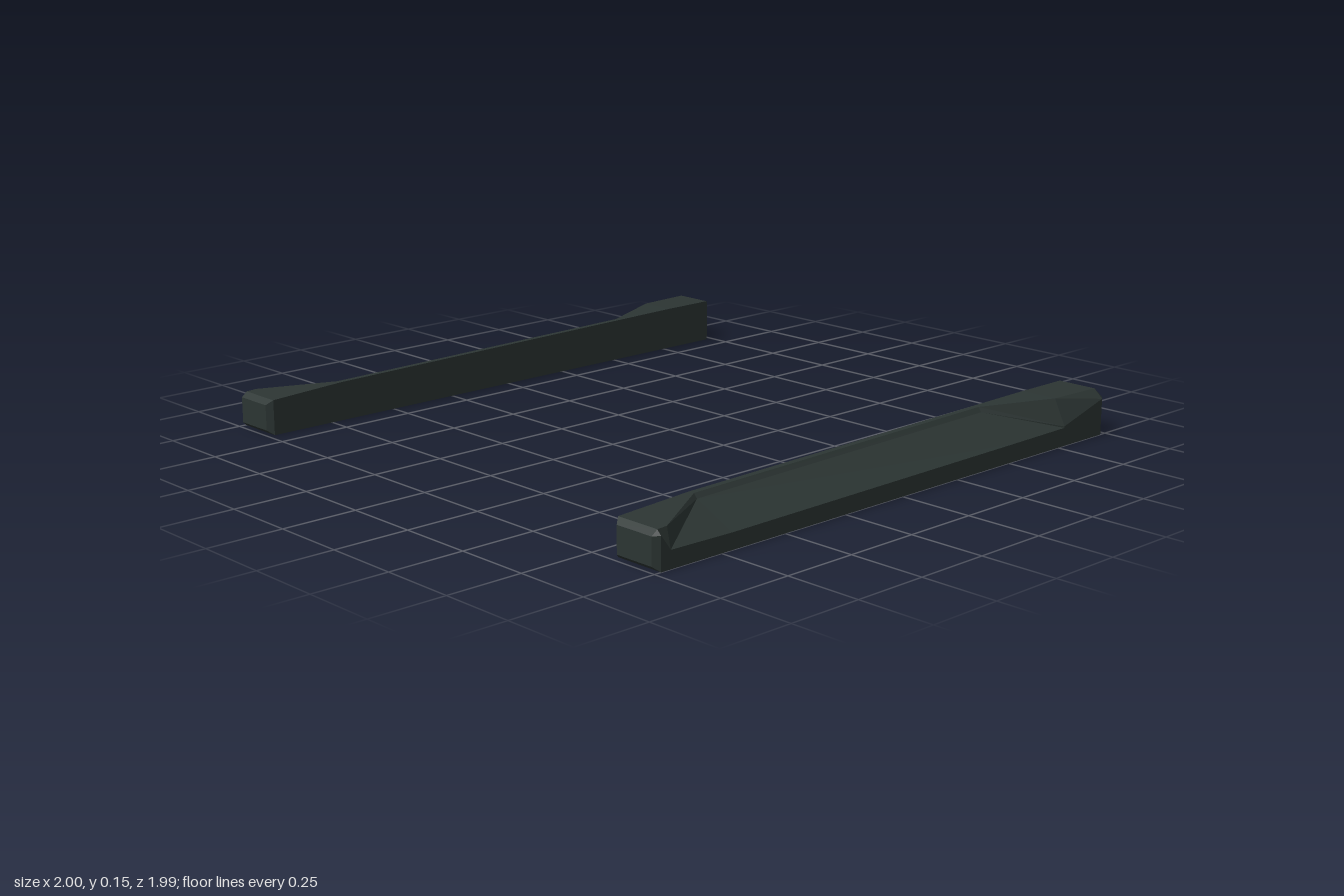
import * as THREE from 'three';

// Cross-sections from front to back: z, then x,y for the
// inner top, ridge, foot of the ridge wall and outer ledge.
const STATIONS = [
  [0.975, 0.83, 0.117, 0.985, 0.117, 1.0, 0.102, 1.0, 0.05],
  [0.94, 0.83, 0.119, 0.985, 0.119, 1.0, 0.055, 1.0, 0.05],
  [0.71, 0.83, 0.13, 0.85, 0.13, 0.862, 0.116, 1.0, 0.051],
  [-0.53, 0.83, 0.146, 0.85, 0.146, 0.862, 0.131, 1.0, 0.058],
  [-0.78, 0.83, 0.149, 0.958, 0.149, 1.0, 0.065, 1.0, 0.06],
  [-0.975, 0.83, 0.149, 0.968, 0.149, 1.0, 0.12, 1.0, 0.06],
];
const END_Z = 0.995;
const BEVEL = 0.016;

function section([z, ...c]) {
  const pts = [[0.83, 0]];
  for (let i = 0; i < c.length; i += 2) pts.push([c[i], c[i + 1]]);
  pts.push([1, 0]);
  return pts.map(([x, y]) => [x, y, z]);
}

// Bevelled end: the same outline pulled inwards
function endSection(pts, z) {
  const top = pts[1][1] - BEVEL;
  return pts.map(([x, y]) => [
    THREE.MathUtils.clamp(x, 0.83 + BEVEL, 1 - BEVEL),
    THREE.MathUtils.clamp(y, BEVEL, top),
    z,
  ]);
}

function skirtGeometry(side) {
  const rings = STATIONS.map(section);
  rings.unshift(endSection(rings[0], END_Z));
  rings.push(endSection(rings[rings.length - 1], -END_Z));

  const positions = [];
  const tri = (a, b, c) => {
    const order = side > 0 ? [a, b, c] : [a, c, b];
    for (const [x, y, z] of order) positions.push(x * side, y, z);
  };

  // Walls between neighbouring sections
  for (let i = 0; i < rings.length - 1; i++) {
    const p = rings[i], q = rings[i + 1], n = p.length;
    for (let j = 0; j < n; j++) {
      const k = (j + 1) % n;
      tri(p[j], p[k], q[k]);
      tri(p[j], q[k], q[j]);
    }
  }

  // End caps
  const front = rings[0], back = rings[rings.length - 1];
  for (let j = 1; j < front.length - 1; j++) {
    tri(front[0], front[j + 1], front[j]);
    tri(back[0], back[j], back[j + 1]);
  }

  const geometry = new THREE.BufferGeometry();
  geometry.setAttribute('position', new THREE.Float32BufferAttribute(positions, 3));
  geometry.computeVertexNormals();
  return geometry;
}

export function createModel() {
  const model = new THREE.Group();
  model.name = 'sideSkirts';
  const material = new THREE.MeshStandardMaterial({ color: 0x2c3533, flatShading: true });
  material.name = 'darkPlastic';

  // Mirrored pair of skirts
  for (const [name, side] of [['leftSkirt', 1], ['rightSkirt', -1]]) {
    const skirt = new THREE.Mesh(skirtGeometry(side), material);
    skirt.name = name;
    model.add(skirt);
  }
  return model;
}
